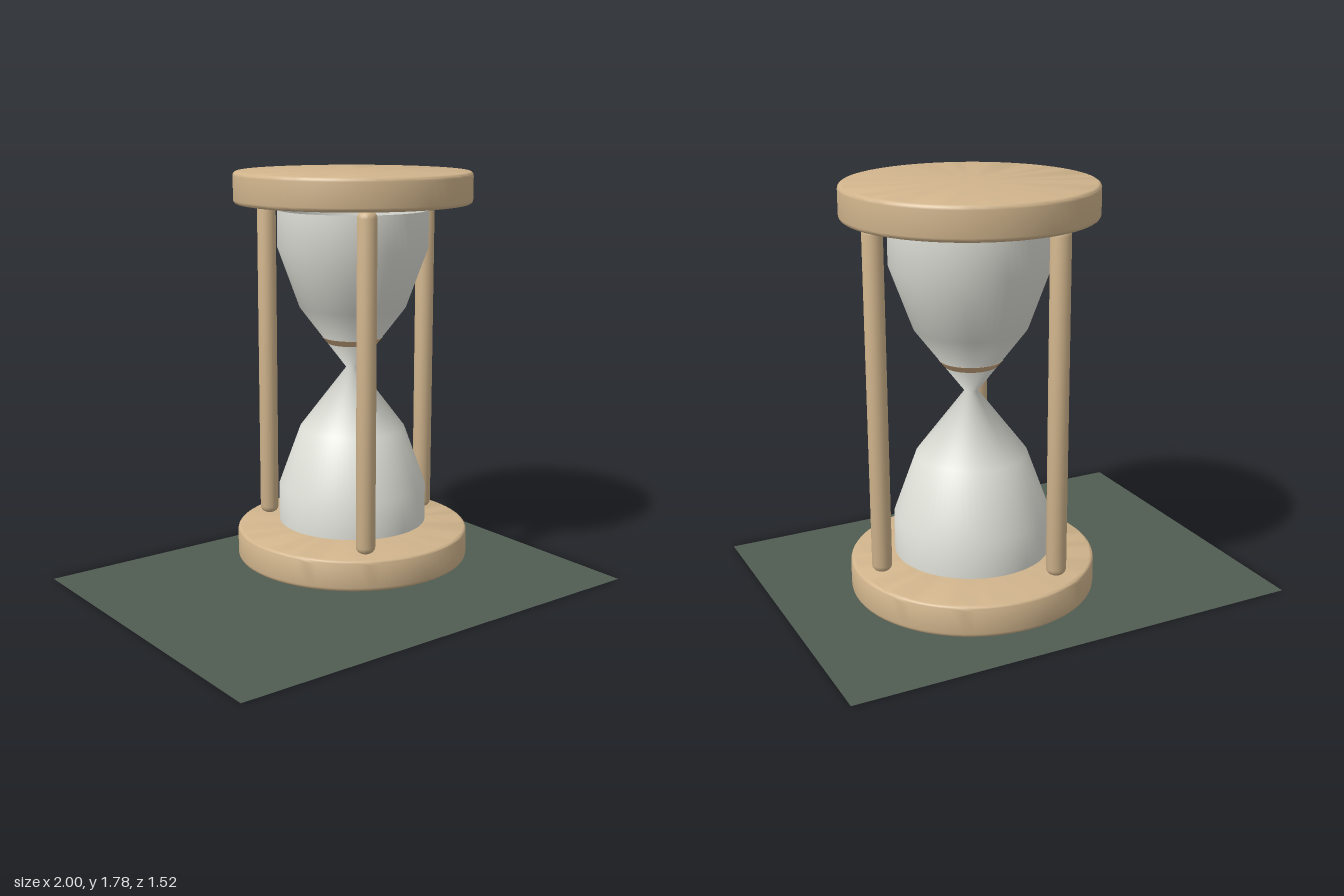
import * as THREE from 'three';
import { toCreasedNormals } from 'three/addons/utils/BufferGeometryUtils.js';

const material = (name, color, side = THREE.FrontSide) => {
  const m = new THREE.MeshStandardMaterial({ color, side });
  m.name = name;
  return m;
};

// Upright disc or rod with softly rounded rims, from y0 to y1
function roundedRod(radius, y0, y1, bevel, segments) {
  const points = [new THREE.Vector2(0, y0)];
  const steps = 4;
  for (const [y, start] of [[y0 + bevel, -Math.PI / 2], [y1 - bevel, 0]]) {
    for (let i = 0; i <= steps; i++) {
      const a = start + (i / steps) * Math.PI / 2;
      points.push(new THREE.Vector2(radius - bevel + bevel * Math.cos(a), y + bevel * Math.sin(a)));
    }
  }
  points.push(new THREE.Vector2(0, y1));
  return toCreasedNormals(new THREE.LatheGeometry(points, segments), 0.6);
}

const lathe = (profile, segments = 64) =>
  new THREE.LatheGeometry(profile.map(([r, y]) => new THREE.Vector2(r, y)), segments);

export function createModel() {
  const wood = material('wood', 0xd0b48c);
  const glass = material('glass', 0xdfe0d8, THREE.DoubleSide);
  const sand = material('sand', 0xcfab82);
  const cloth = material('dark green base', 0x505c52, THREE.DoubleSide);

  const model = new THREE.Group();
  const hourglass = new THREE.Group();
  hourglass.name = 'hourglass';
  hourglass.position.set(0.195, 0, -0.135);
  model.add(hourglass);

  const add = (parent, name, geometry, mat) => {
    const mesh = new THREE.Mesh(geometry, mat);
    mesh.name = name;
    parent.add(mesh);
    return mesh;
  };

  // Flat ground sheet
  add(model, 'groundSheet', new THREE.PlaneGeometry(2, 1.52).rotateX(-Math.PI / 2), cloth);

  // Round end plates
  add(hourglass, 'bottomPlate', roundedRod(0.52, 0.052, 0.19, 0.018, 72), wood);
  add(hourglass, 'topPlate', roundedRod(0.52, 1.645, 1.784, 0.018, 72), wood);

  // Three posts evenly spaced around the glass
  for (let i = 0; i < 3; i++) {
    const a = (i / 3) * Math.PI * 2;
    const post = add(hourglass, 'post', roundedRod(0.042, 0.19, 1.645, 0.03, 24), wood);
    post.position.set(0.418 * Math.cos(a), 0, 0.418 * Math.sin(a));
  }

  // Double bulb, open at both ends
  add(hourglass, 'glassBulbs', lathe([
    [0.331, 0.218], [0.331, 0.38], [0.235, 0.645], [0.028, 0.918],
    [0.235, 1.19], [0.331, 1.455], [0.331, 1.618],
  ]), glass);

  // Sand in the upper bulb, just showing as a ring through the glass
  add(hourglass, 'upperSand', toCreasedNormals(lathe([
    [0, 0.95], [0.112, 1.028], [0.134, 1.055], [0, 1.055],
  ]), 0.5), sand);

  // Sand heap in the lower bulb
  add(hourglass, 'lowerSand', toCreasedNormals(lathe([
    [0, 0.23], [0.31, 0.23], [0.31, 0.3], [0, 0.46],
  ]), 0.5), sand);

  return model;
}
